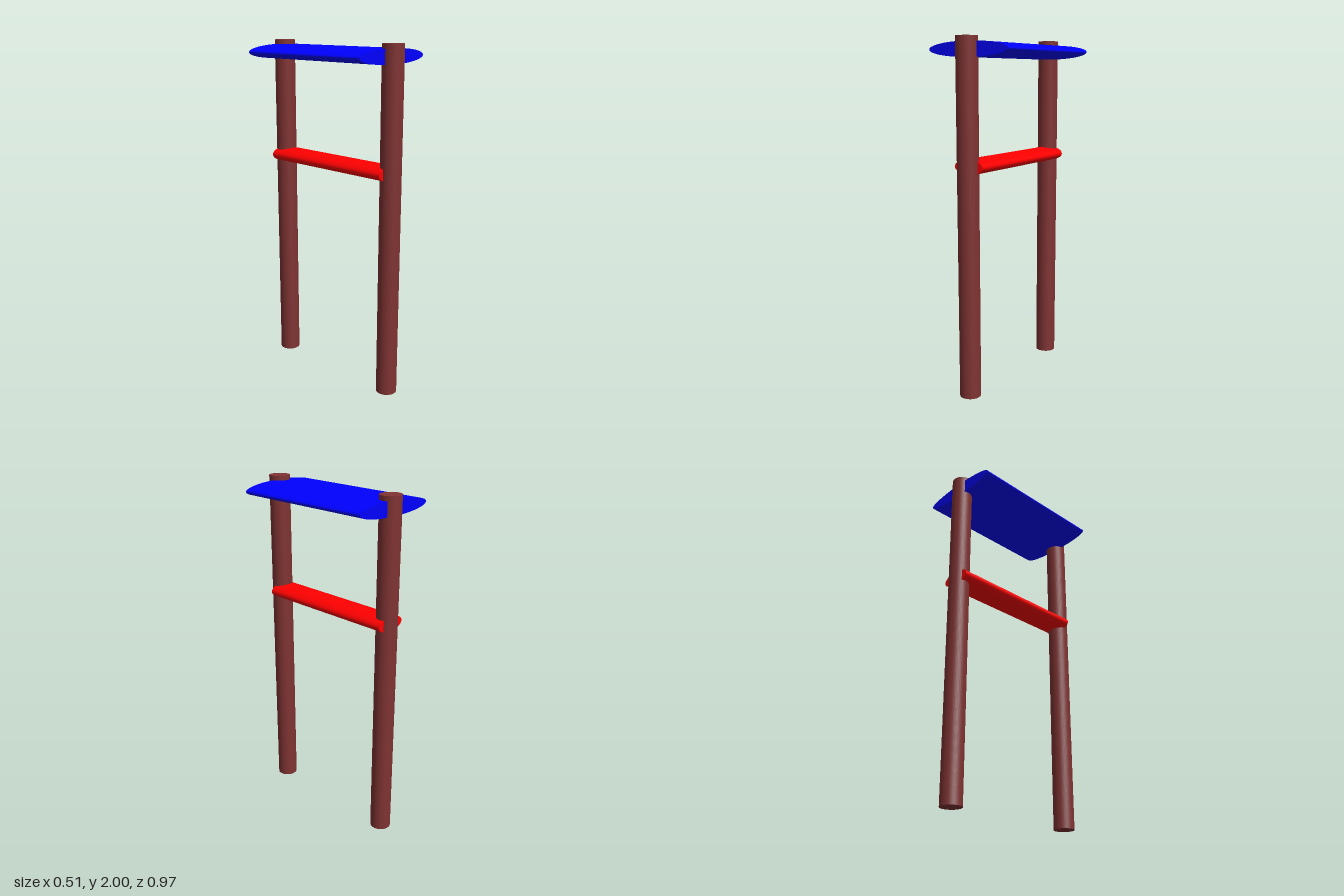
import * as THREE from 'three';

const BROWN = new THREE.MeshStandardMaterial({ color: 0x803333 });
const RED = new THREE.MeshStandardMaterial({ color: 0xff0000 });
const BLUE = new THREE.MeshStandardMaterial({ color: 0x0000ff });

// Elliptical bar lying along z, from the back post to the front post
function ellipticalBar(name, halfWidth, halfHeight, y, material) {
  const back = -0.45, front = 0.42;
  const geometry = new THREE.CylinderGeometry(1, 1, front - back, 64);
  geometry.rotateX(Math.PI / 2);
  geometry.scale(halfWidth, halfHeight, 1);
  const bar = new THREE.Mesh(geometry, material);
  bar.name = name;
  bar.position.set(0, y, (back + front) / 2);
  return bar;
}

export function createModel() {
  const gate = new THREE.Group();
  gate.name = 'gate';

  // Round upright posts
  const postGeometry = new THREE.CylinderGeometry(0.06, 0.06, 2, 48);
  for (const [name, z] of [['frontPost', 0.424], ['backPost', -0.424]]) {
    const post = new THREE.Mesh(postGeometry, BROWN);
    post.name = name;
    post.position.set(0, 1, z);
    gate.add(post);
  }

  // Wide flat top beam and narrow lower crossbar
  gate.add(ellipticalBar('topBeam', 0.254, 0.042, 1.933, BLUE));
  gate.add(ellipticalBar('crossbar', 0.092, 0.042, 1.31, RED));

  return gate;
}
